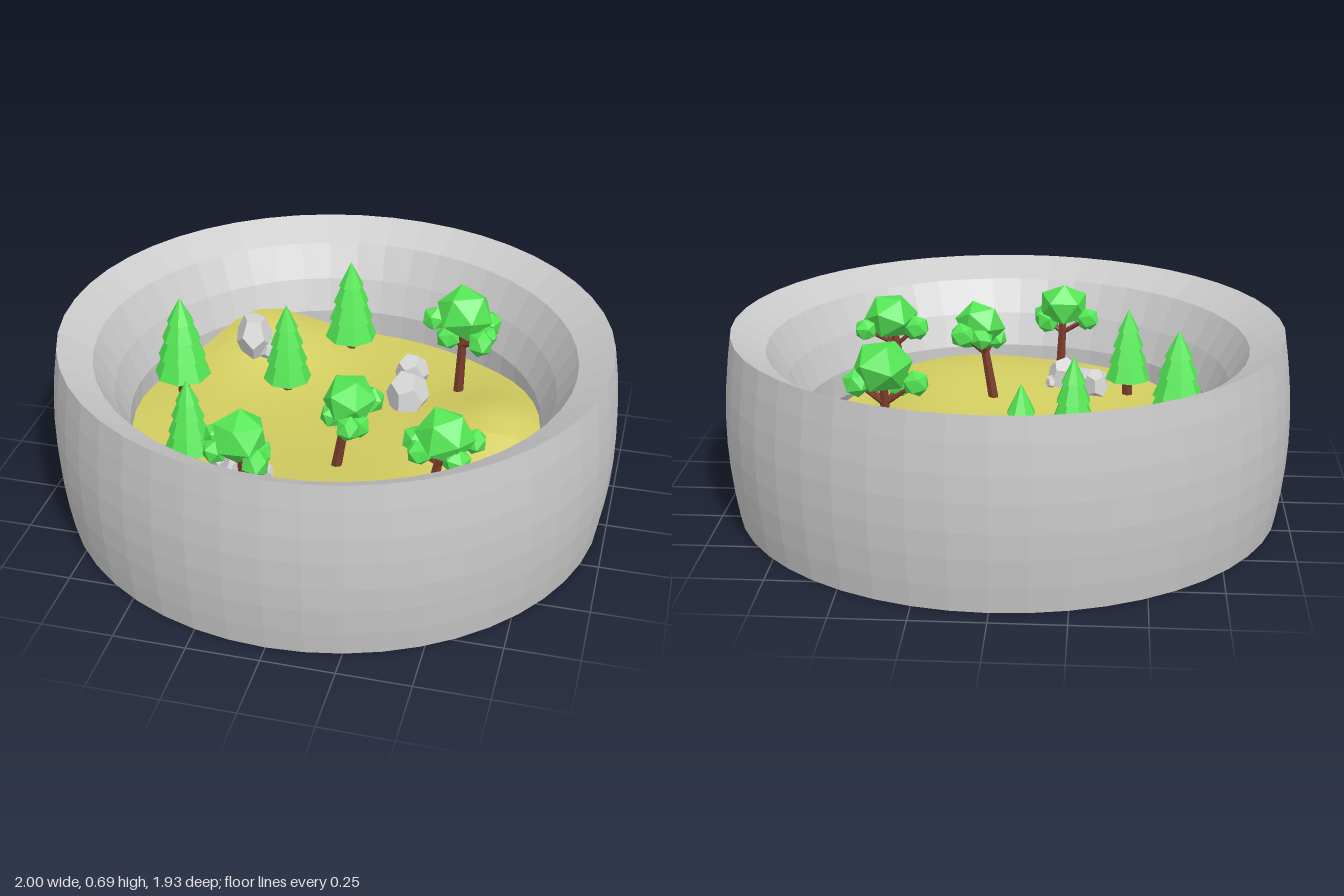
import * as THREE from 'three';

const stone = new THREE.MeshStandardMaterial({ color: 0xcacaca });
const rockGrey = new THREE.MeshStandardMaterial({ color: 0xd4d4d4 });
const grass = new THREE.MeshStandardMaterial({ color: 0xd2cc60, side: THREE.DoubleSide });
const leaf = new THREE.MeshStandardMaterial({ color: 0x58f058 });
const bark = new THREE.MeshStandardMaterial({ color: 0x7a3c2a });
const DEPTH = 0.963; // the bowl is slightly narrower front to back

// Faceted copy of a geometry
function flat(geometry) {
  const g = geometry.index ? geometry.toNonIndexed() : geometry;
  g.computeVertexNormals();
  return g;
}

function add(parent, name, geometry, material) {
  const mesh = new THREE.Mesh(geometry, material);
  mesh.name = name;
  parent.add(mesh);
  return mesh;
}

function lathe(points, sides) {
  return new THREE.LatheGeometry(points.map(([r, y]) => new THREE.Vector2(r, y)), sides);
}

// Ground height: a low base with soft hills and one dip [x, z, height, spread]
const hills = [
  [-0.42, -0.54, 0.14, 0.24], [0.2, 0.55, 0.07, 0.38], [0.4, -0.12, 0.03, 0.25],
  [-0.35, 0.55, 0.035, 0.3], [-0.65, 0.05, 0.03, 0.25], [0.6, 0.27, -0.05, 0.17],
  [0.6, -0.1, 0.08, 0.2], [0.62, -0.4, 0.025, 0.2],
];
function ground(x, z) {
  return hills.reduce((y, [hx, hz, h, s]) =>
    y + h * Math.exp(-((x - hx) ** 2 + (z - hz) ** 2) / (s * s)), 0.25);
}

function terrainGeometry() {
  const g = new THREE.RingGeometry(0.001, 0.737, 48, 16).rotateX(-Math.PI / 2);
  const p = g.attributes.position;
  for (let i = 0; i < p.count; i++) {
    const x = p.getX(i), z = p.getZ(i) * DEPTH;
    p.setXYZ(i, x, ground(x, z), z);
  }
  g.computeVertexNormals();
  return g;
}

// Tapered stick between two points
function stick(parent, name, from, to, r0, r1) {
  const a = new THREE.Vector3(...from), b = new THREE.Vector3(...to);
  const dir = b.clone().sub(a);
  const mesh = add(parent, name, flat(new THREE.CylinderGeometry(r1, r0, dir.length(), 6)), bark);
  mesh.position.copy(a).add(b).multiplyScalar(0.5);
  mesh.quaternion.setFromUnitVectors(new THREE.Vector3(0, 1, 0), dir.normalize());
}

// Conifer with four stepped tiers
function pine(x, z, radius, bottom, top) {
  const tree = new THREE.Group();
  tree.name = 'pineTree';
  stick(tree, 'pineTrunk', [x, ground(x, z) - 0.012, z], [x, bottom + 0.05, z], 0.022, 0.02);
  const h = top - bottom;
  const profile = [[0, 0.06], [1, 0], [0.66, 0.27], [0.84, 0.24], [0.5, 0.5],
    [0.68, 0.47], [0.34, 0.72], [0.48, 0.69], [0, 1]];
  const crown = add(tree, 'pineCrown',
    flat(lathe(profile.map(([r, y]) => [r * radius, y * h]), 8)), leaf);
  crown.position.set(x, bottom, z);
  crown.rotation.y = x * 5;
  return tree;
}

// Broadleaf tree: a main clump and small side clumps on branches
function broadleaf({ base, crown, size, clumps }) {
  const tree = new THREE.Group();
  tree.name = 'broadleafTree';
  const [bx, bz] = base, by = ground(bx, bz) - 0.012;
  stick(tree, 'trunk', [bx, by, bz], crown, 0.02, 0.014);
  const main = add(tree, 'mainFoliage', flat(new THREE.IcosahedronGeometry(size, 0)), leaf);
  main.position.set(...crown);
  main.rotation.set(0.5, bx * 9, 0.2);
  main.scale.y = 0.88;
  const fork = [bx, by, bz].map((v, i) => v + (crown[i] - v) * 0.6);
  clumps.forEach(([x, z, drop, r], i) => {
    const at = [x, crown[1] - drop, z];
    stick(tree, 'branch', fork, at, 0.009, 0.006);
    const clump = add(tree, 'sideFoliage', flat(new THREE.IcosahedronGeometry(r, 0)), leaf);
    clump.position.set(...at);
    clump.rotation.set(i, i * 2, 0.3);
  });
  return tree;
}

export function createModel() {
  const model = new THREE.Group();
  model.name = 'forestBowl';

  // Thick ring wall with broad bevelled lips, open above and below
  const wall = [[0.97, 0], [0.984, 0.09], [0.995, 0.19], [1, 0.28], [1, 0.38], [0.995, 0.47],
    [0.984, 0.57], [0.97, 0.66], [0.85, 0.593], [0.782, 0.47], [0.735, 0.35],
    [0.735, 0.25], [0.782, 0.17], [0.85, 0.067], [0.97, 0]];
  const ring = lathe(wall, 48);
  ring.scale(1, 1, DEPTH);
  add(model, 'ringWall', flat(ring), stone);

  add(model, 'ground', terrainGeometry(), grass);

  // Conifers: x, z, radius, foliage bottom, tip
  [[-0.08, -0.57, 0.1, 0.32, 0.635], [-0.24, -0.22, 0.09, 0.31, 0.615],
    [-0.6, -0.08, 0.105, 0.36, 0.67], [-0.43, 0.36, 0.085, 0.34, 0.61],
  ].forEach((p) => model.add(pine(...p)));

  // Broadleaf trees; clumps are x, z, drop below the crown, radius
  [
    { base: [0.39, -0.33], crown: [0.4, 0.605, -0.34], size: 0.108,
      clumps: [[0.285, -0.36, 0.05, 0.048], [0.475, -0.25, 0.07, 0.05],
        [0.485, -0.37, 0.05, 0.05], [0.35, -0.29, 0.08, 0.048], [0.49, -0.31, 0.07, 0.04]] },
    { base: [0.07, 0.27], crown: [0.12, 0.57, 0.28], size: 0.095,
      clumps: [[0.18, 0.22, 0.03, 0.05], [0.14, 0.385, 0.05, 0.045],
        [0.065, 0.3, 0.06, 0.045], [0.16, 0.33, 0.07, 0.045], [0.11, 0.22, 0.04, 0.045]] },
    { base: [0.42, 0.4], crown: [0.47, 0.555, 0.4], size: 0.103,
      clumps: [[0.37, 0.385, 0.04, 0.05], [0.56, 0.35, 0.04, 0.045],
        [0.52, 0.45, 0.06, 0.05], [0.39, 0.43, 0.06, 0.045]] },
    { base: [-0.17, 0.55], crown: [-0.18, 0.56, 0.57], size: 0.1,
      clumps: [[-0.275, 0.525, 0.04, 0.045], [-0.11, 0.63, 0.06, 0.05],
        [-0.26, 0.59, 0.06, 0.045], [-0.12, 0.56, 0.06, 0.05]] },
  ].forEach((t) => model.add(broadleaf(t)));

  // Rocks: x, z, half sizes, turn
  [
    [-0.41, -0.37, 0.07, 0.1, 0.085, 0.5], [-0.31, -0.41, 0.04, 0.045, 0.045, 1.4],
    [-0.34, -0.35, 0.045, 0.045, 0.035, 0.6],
    [0.2, -0.4, 0.065, 0.08, 0.06, 0.3], [0.22, -0.22, 0.08, 0.09, 0.1, 0.3],
    [-0.31, 0.36, 0.05, 0.065, 0.06, 0.4], [-0.255, 0.39, 0.055, 0.06, 0.055, 1.1],
    [-0.19, 0.43, 0.07, 0.07, 0.06, 0.8], [-0.33, 0.46, 0.025, 0.03, 0.02, 0.2],
    [-0.14, 0.39, 0.025, 0.03, 0.02, 1.9], [-0.16, 0.48, 0.025, 0.03, 0.02, 2.3],
  ].forEach(([x, z, sx, sy, sz, turn]) => {
    const g = new THREE.DodecahedronGeometry(1, 0);
    g.rotateX(turn * 3).rotateZ(turn).scale(sx, sy, sz).rotateY(turn);
    const rock = add(model, 'rock', flat(g), rockGrey);
    rock.position.set(x, ground(x, z) + sy * 0.4, z);
  });

  return model;
}
